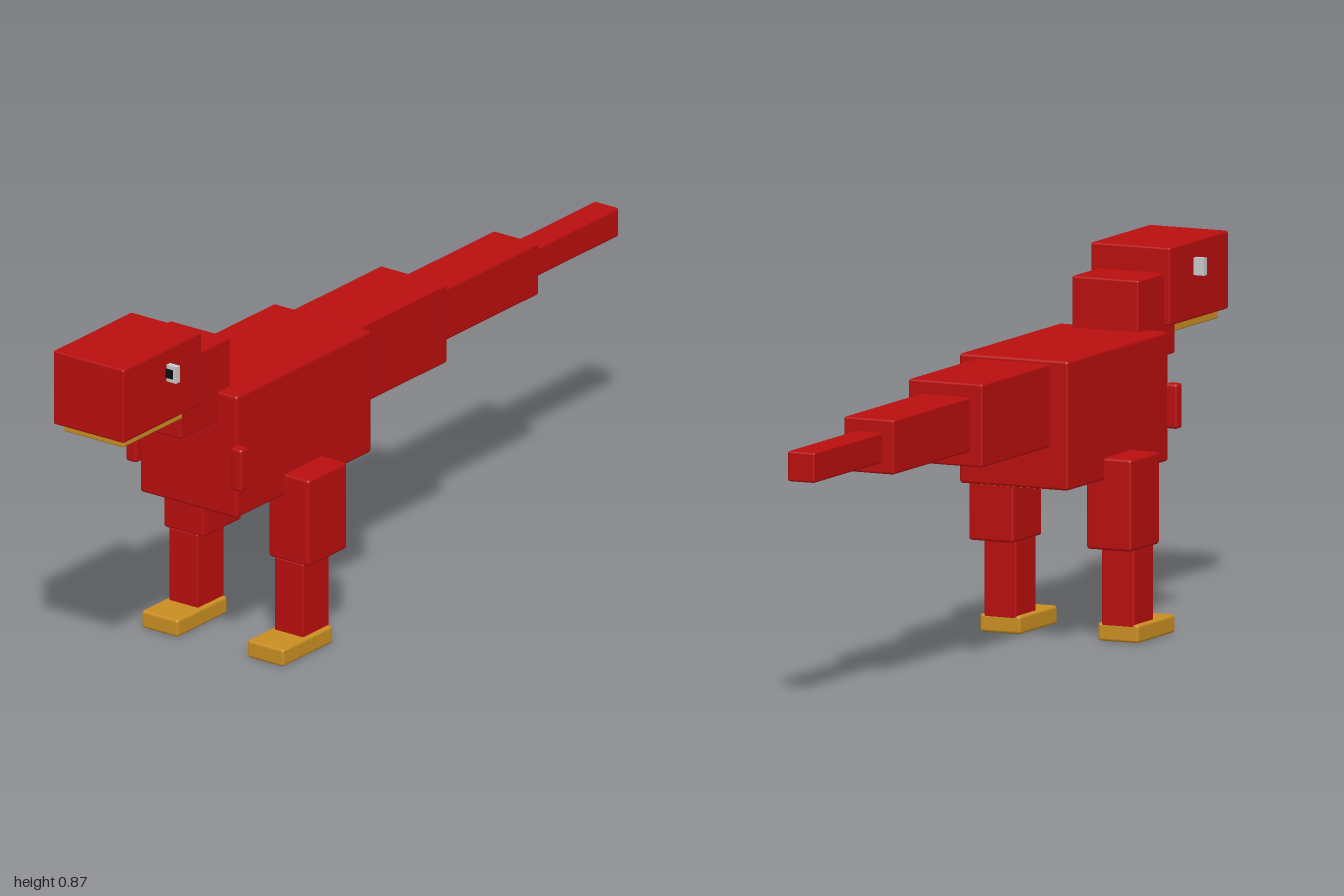
import * as THREE from 'three';
import { RoundedBoxGeometry } from 'three/addons/geometries/RoundedBoxGeometry.js';

export function createModel() {
  const model = new THREE.Group();
  model.name = 'blockDinosaur';

  const material = (name, color) => {
    const m = new THREE.MeshStandardMaterial({ color });
    m.name = name;
    return m;
  };
  const red = material('red', 0xb80e0e);
  const gold = material('gold', 0xc88d22);
  const white = material('white', 0xc8c8c8);
  const black = material('black', 0x0c0c0c);

  // Softly bevelled block given by its extents on each axis
  function block(name, mat, [x0, x1], [y0, y1], [z0, z1], bevel = 0.007) {
    const w = x1 - x0, h = y1 - y0, d = z1 - z0;
    const geometry = bevel > 0
      ? new RoundedBoxGeometry(w, h, d, 2, bevel)
      : new THREE.BoxGeometry(w, h, d);
    const mesh = new THREE.Mesh(geometry, mat);
    mesh.name = name;
    mesh.position.set((x0 + x1) / 2, (y0 + y1) / 2, (z0 + z1) / 2);
    model.add(mesh);
  }

  // The same block on the left (+x) and right (-x)
  function pair(name, mat, [x0, x1], y, z, bevel) {
    block(name + 'Left', mat, [x0, x1], y, z, bevel);
    block(name + 'Right', mat, [-x1, -x0], y, z, bevel);
  }

  // Torso and belly plate
  block('body', red, [-0.141, 0.141], [0.385, 0.689], [0.096, 0.615]);
  block('belly', gold, [-0.105, 0.105], [0.38, 0.388], [0.13, 0.59], 0);

  // Neck, head and jaw
  block('neck', red, [-0.087, 0.086], [0.615, 0.81], [0.567, 0.758], 0.005);
  block('head', red, [-0.103, 0.102], [0.687, 0.87], [0.698, 1.0], 0.005);
  block('jaw', gold, [-0.087, 0.086], [0.666, 0.692], [0.75, 0.98], 0.004);

  // Tail, tapering in three steps
  const tail = [
    [0.096, 0.485, 0.68, -0.256, 0.098],
    [0.065, 0.52, 0.648, -0.65, -0.254],
    [0.035, 0.546, 0.617, -1.0, -0.648],
  ];
  tail.forEach(([halfWidth, y0, y1, z0, z1], i) =>
    block('tail' + (i + 1), red, [-halfWidth, halfWidth], [y0, y1], [z0, z1], 0.005));

  // Legs
  pair('thigh', red, [0.094, 0.211], [0.221, 0.437], [0.283, 0.431]);
  pair('shin', red, [0.11, 0.195], [0.035, 0.225], [0.33, 0.431], 0.005);
  pair('foot', gold, [0.1, 0.206], [0, 0.043], [0.33, 0.523]);

  // Tiny arms
  pair('arm', red, [0.136, 0.168], [0.462, 0.568], [0.605, 0.634]);

  // Eyes with forward-facing pupils
  pair('eye', white, [0.09, 0.13], [0.79, 0.831], [0.82, 0.835], 0);
  pair('pupil', black, [0.1, 0.121], [0.8, 0.822], [0.833, 0.838], 0);

  return model;
}
